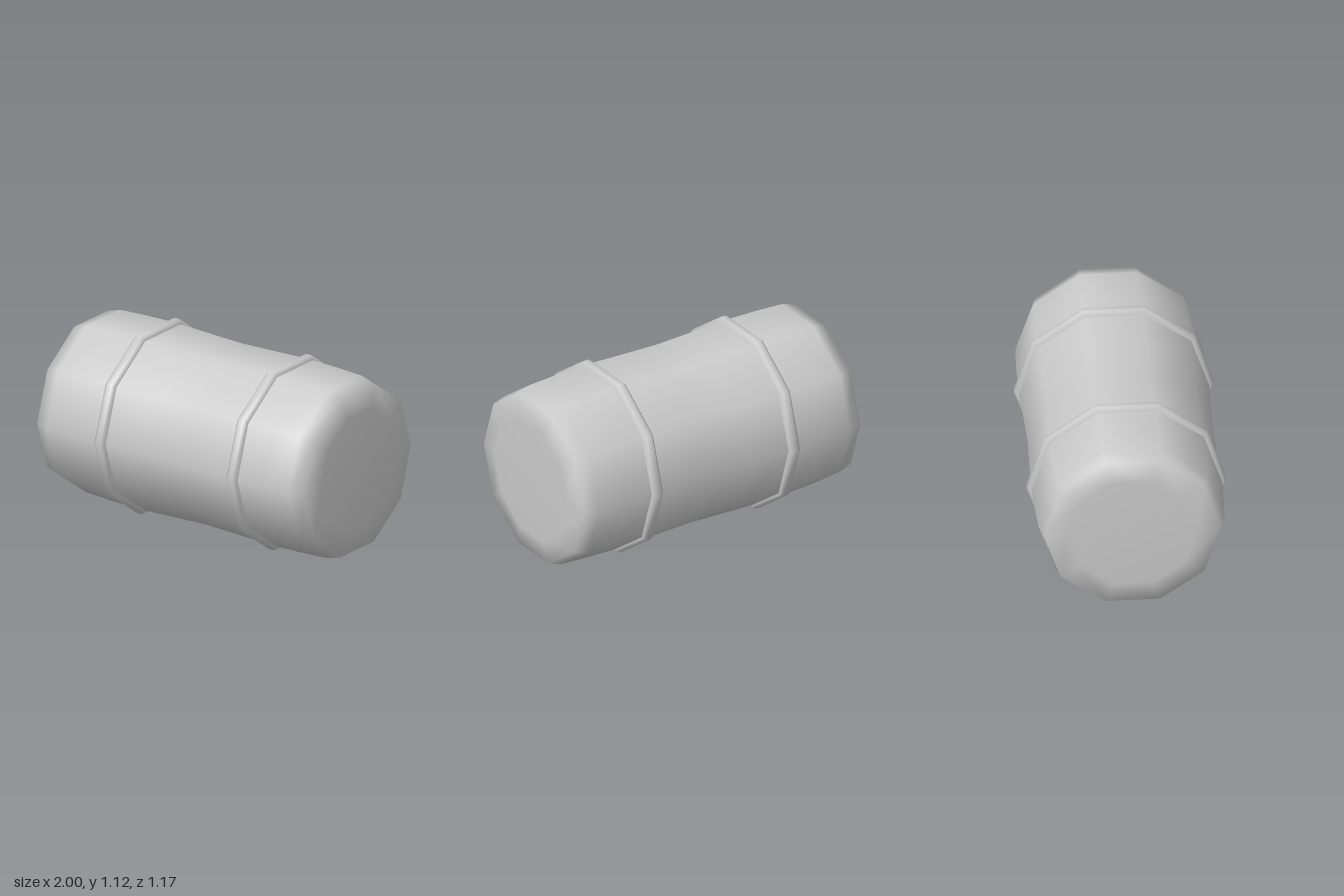
import * as THREE from 'three';

const SIDES = 10;
const RING_R = 0.587;
const CENTRE_Y = RING_R * Math.cos(Math.PI / SIDES);

// Ten-sided surface of revolution lying along x; profile is [x, radius]
function turned(name, profile, material) {
  const points = profile.map(([x, r]) => new THREE.Vector2(r, x));
  const mesh = new THREE.Mesh(new THREE.LatheGeometry(points, SIDES), material);
  mesh.name = name;
  mesh.rotation.z = -Math.PI / 2;
  mesh.position.y = CENTRE_Y;
  return mesh;
}

export function createModel() {
  const group = new THREE.Group();
  group.name = 'barrel';
  const grey = new THREE.MeshStandardMaterial({ color: 0xcccccc });

  // Body: slight waist, bulges under the hoops, rounded ends
  const half = [[0, 0.546], [0.18, 0.551], [0.48, 0.561], [0.7, 0.557], [0.89, 0.548], [0.98, 0.522], [1, 0.38], [1, 0]];
  const mirrored = half.slice(1).reverse().map(([x, r]) => [-x, r]);
  group.add(turned('body', [...mirrored, ...half], grey));

  // Two raised hoops with bevelled edges
  const hoop = [[-0.037, 0.54], [-0.037, 0.57], [-0.018, RING_R], [0.018, RING_R], [0.037, 0.57], [0.037, 0.54]];
  for (const [name, side] of [['leftHoop', 1], ['rightHoop', -1]]) {
    const mesh = turned(name, hoop, grey);
    mesh.position.x = side * 0.485;
    group.add(mesh);
  }
  return group;
}
